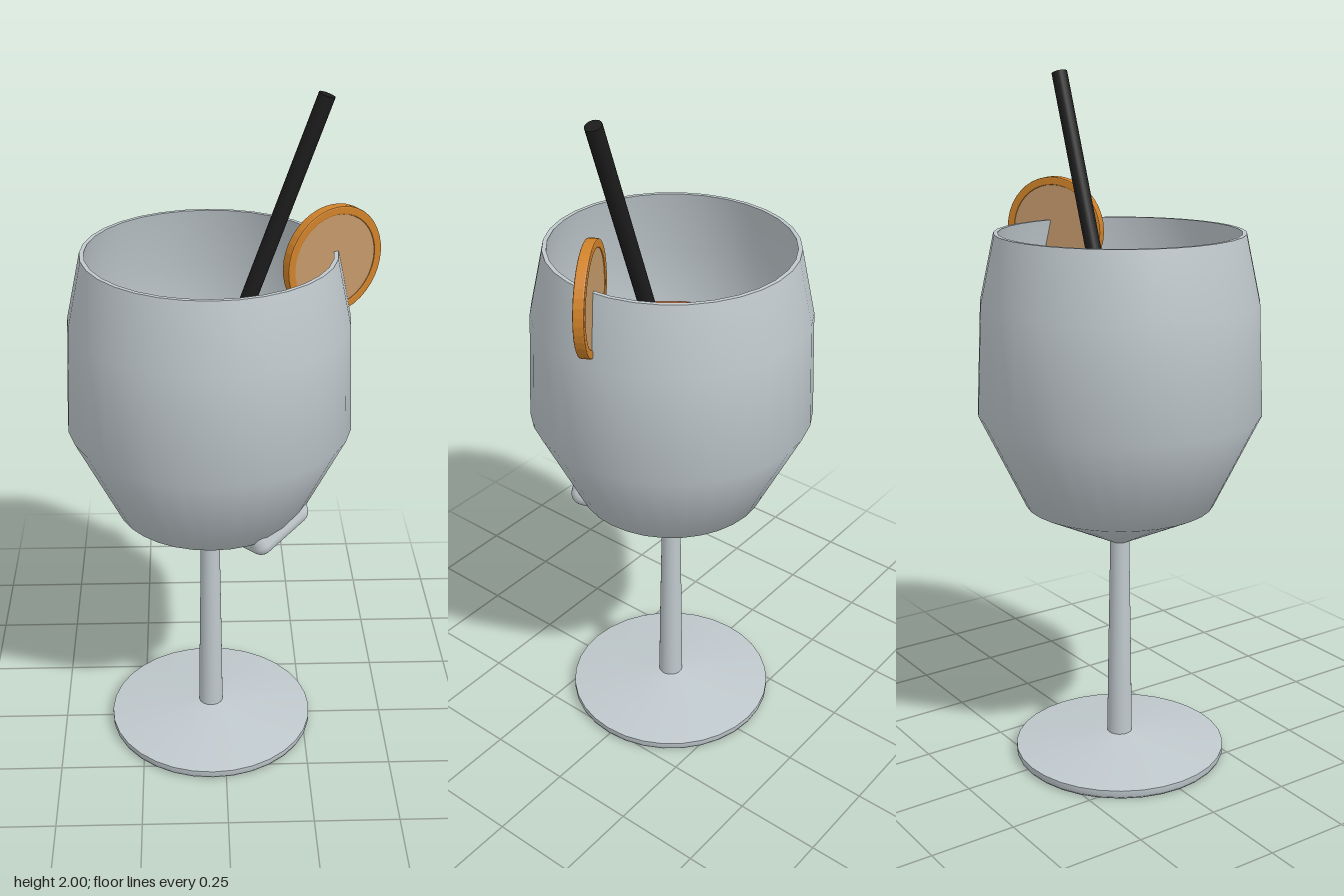
import * as THREE from 'three';
import { RoundedBoxGeometry } from 'three/addons/geometries/RoundedBoxGeometry.js';

const material = (name, color, side = THREE.FrontSide) => {
  const m = new THREE.MeshStandardMaterial({ color, side });
  m.name = name;
  return m;
};

export function createModel() {
  const glassMat = material('glass grey', 0xbfc8cc, THREE.DoubleSide);
  const iceMat = material('ice grey', 0xc3cbce);
  const drinkMat = material('drink orange', 0xe0661f);
  const rindMat = material('rind orange', 0xd0822a);
  const fleshMat = material('flesh tan', 0xc3986a);
  const strawMat = material('straw black', 0x1c1c1c);

  const model = new THREE.Group();
  model.name = 'drink';
  const add = (name, geometry, mat, parent = model) => {
    const mesh = new THREE.Mesh(geometry, mat);
    mesh.name = name;
    parent.add(mesh);
    return mesh;
  };
  const lathe = (points, segments = 32) =>
    new THREE.LatheGeometry(points.map(([r, y]) => new THREE.Vector2(r, y)), segments);

  // Wine glass: separate profiles keep the rim and foot edges sharp
  const glass = new THREE.Group();
  glass.name = 'glass';
  glass.position.x = -0.04;
  model.add(glass);
  add('footUnderside', lathe([[0, 0.005], [0.31, 0.005]]), glassMat, glass);
  add('footEdge', lathe([[0.305, 0], [0.312, 0.01], [0.312, 0.027]]), glassMat, glass);
  add('footTop', lathe([[0.312, 0.027], [0.2, 0.042], [0.037, 0.062]]), glassMat, glass);
  add('stem', lathe([[0.037, 0.062], [0.034, 0.3], [0.029, 0.6], [0.029, 0.67]]), glassMat, glass);
  add('bowlOutside', lathe([
    [0.029, 0.67], [0.272, 0.79], [0.405, 1.065], [0.391, 1.38], [0.35, 1.57],
  ]), glassMat, glass);
  add('rim', lathe([[0.35, 1.57], [0.338, 1.57]]), glassMat, glass);
  add('bowlInside', lathe([
    [0.338, 1.57], [0.378, 1.38], [0.392, 1.065], [0.26, 0.8], [0, 0.69],
  ]), glassMat, glass);

  // Drink filling the lower bowl
  add('drinkBody', lathe([[0, 0.7], [0.25, 0.81], [0.386, 1.065], [0.381, 1.2]]), drinkMat, glass);
  add('drinkSurface', lathe([[0.381, 1.2], [0, 1.2]]), drinkMat, glass);

  // Ice cubes: one floating, one whose corner breaks through the lower bowl
  const iceGeometry = new RoundedBoxGeometry(0.21, 0.21, 0.21, 4, 0.035);
  const floating = add('floatingIce', iceGeometry, iceMat);
  floating.position.set(0.075, 1.19, -0.1);
  floating.rotation.set(0.14, -0.34, -0.14, 'XZY');

  const sunken = add('sunkenIce', iceGeometry, iceMat);
  const e1 = new THREE.Vector3(0.74, 0.4, -0.54).normalize();
  const e3 = e1.clone().cross(new THREE.Vector3(-0.64, -0.28, -0.71)).normalize();
  const e2 = e3.clone().cross(e1);
  sunken.setRotationFromMatrix(new THREE.Matrix4().makeBasis(e1, e2, e3));
  sunken.position.set(0.085, 0.85, 0.115);

  // Leaning straw
  const top = new THREE.Vector3(0.265, 1.992, 0);
  const bottom = new THREE.Vector3(-0.12, 0.9, 0);
  const direction = top.clone().sub(bottom);
  const straw = add('straw', new THREE.CylinderGeometry(0.023, 0.023, direction.length(), 16), strawMat);
  straw.position.copy(top).add(bottom).multiplyScalar(0.5);
  straw.quaternion.setFromUnitVectors(new THREE.Vector3(0, 1, 0), direction.normalize());

  // Citrus slice hooked over the rim
  const slice = new THREE.Group();
  slice.name = 'citrusSlice';
  slice.position.set(0.295, 1.542, 0);
  slice.rotation.y = Math.PI / 6;
  model.add(slice);
  const rindShape = new THREE.Shape().absarc(0, 0, 0.15, 0, Math.PI * 2);
  rindShape.holes.push(new THREE.Path().absarc(0, 0, 0.134, 0, Math.PI * 2, true));
  const rind = new THREE.ExtrudeGeometry(rindShape, {
    depth: 0.022, bevelSize: 0.004, bevelThickness: 0.004, bevelSegments: 2, curveSegments: 20,
  });
  add('rind', rind.translate(0, 0, -0.011), rindMat, slice);
  const flesh = new THREE.CylinderGeometry(0.136, 0.136, 0.024, 40).rotateX(Math.PI / 2);
  add('flesh', flesh, fleshMat, slice);

  return model;
}
